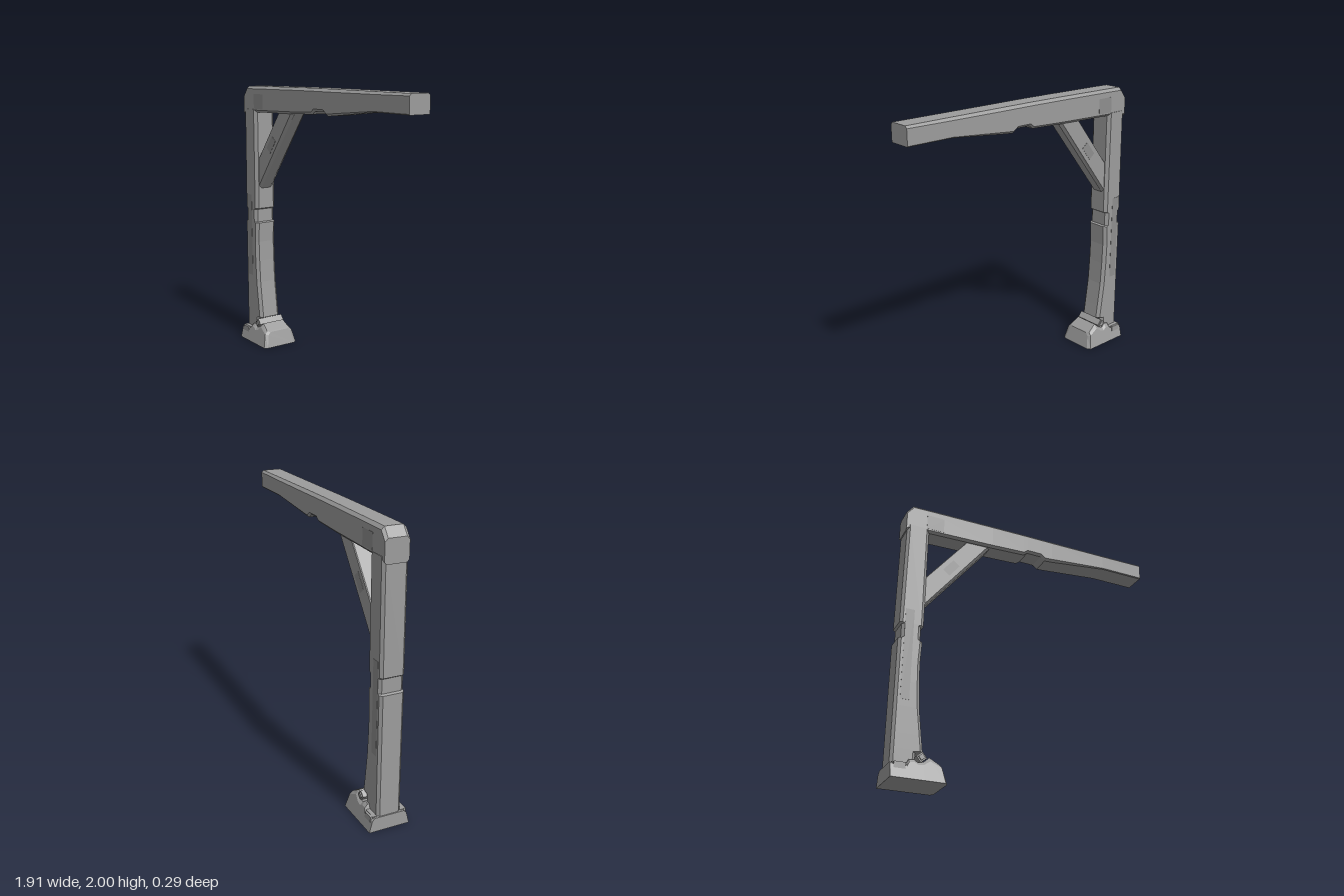
import * as THREE from 'three';

const paint = new THREE.MeshStandardMaterial({ color: 0x9c9c9c, flatShading: true });
const darkPaint = new THREE.MeshStandardMaterial({ color: 0x8e8e8e, flatShading: true });

// Chamfered eight-sided section spanning p0 -> p1 in the xy plane, half depth hz
function section([x0, y0], [x1, y1], hz, c0, c1) {
  const len = Math.hypot(x1 - x0, y1 - y0);
  const at = (d, z) => [x0 + (x1 - x0) * d / len, y0 + (y1 - y0) * d / len, z];
  const half = [[0, hz - c0], [c0, hz], [len - c1, hz], [len, hz - c1]];
  return [...half.map(([d, z]) => at(d, -z)), ...half.reverse().map(([d, z]) => at(d, z))];
}

// Skin a row of equal-count rings and close both ends
function loft(rings) {
  const tris = [];
  const n = rings[0].length;
  for (let i = 0; i < rings.length - 1; i++) {
    for (let j = 0; j < n; j++) {
      const k = (j + 1) % n;
      const [a, b, c, d] = [rings[i][j], rings[i][k], rings[i + 1][k], rings[i + 1][j]];
      tris.push([a, b, c], [a, c, d]);
    }
  }
  const first = rings[0], last = rings[rings.length - 1];
  for (let j = 1; j < n - 1; j++) {
    tris.push([first[0], first[j + 1], first[j]], [last[0], last[j], last[j + 1]]);
  }
  // Turn the faces outward if the enclosed volume is negative
  let volume = 0;
  for (const [a, b, c] of tris) {
    volume += new THREE.Vector3(...a).dot(new THREE.Vector3(...b).cross(new THREE.Vector3(...c)));
  }
  if (volume < 0) tris.forEach((t) => t.reverse());
  const geometry = new THREE.BufferGeometry();
  geometry.setAttribute('position', new THREE.Float32BufferAttribute(tris.flat(2), 3));
  geometry.computeVertexNormals();
  return geometry;
}

export function createModel() {
  const group = new THREE.Group();
  const add = (name, geometry, x = 0, y = 0, z = 0, turn = 0, material = paint) => {
    const mesh = new THREE.Mesh(geometry, material);
    mesh.name = name;
    mesh.position.set(x, y, z);
    mesh.rotation.z = turn;
    group.add(mesh);
  };

  // Horizontal beam: x, underside, top, top chamfer
  const beam = [
    [-0.947, 1.775, 1.93, 0.02], [-0.9, 1.79, 1.99, 0.02], [-0.8, 1.798, 1.992, 0.02],
    [-0.3, 1.812, 1.998, 0.02], [-0.05, 1.823, 2, 0.02], [-0.02, 1.846, 2, 0.02],
    [0.09, 1.846, 2, 0.02], [0.125, 1.82, 2, 0.02], [0.18, 1.824, 2, 0.02],
    [0.62, 1.873, 2, 0.018], [0.956, 1.873, 2, 0.015],
  ];
  add('beam', loft(beam.map(([x, y0, y1, c]) =>
    section([x, y0], [x, y1], 0.082, x > 0.6 ? 0.006 : 0.016, c))));

  // Post with a shallow groove at mid height and a foot that flares: y, back, front
  const post = [
    [0.05, -0.948, -0.79], [0.19, -0.948, -0.785], [0.2, -0.948, -0.738],
    [0.3, -0.948, -0.751], [0.48, -0.948, -0.774], [0.65, -0.948, -0.784],
    [0.8, -0.948, -0.788], [0.95, -0.948, -0.781], [0.957, -0.93, -0.797],
    [1.055, -0.93, -0.797], [1.065, -0.945, -0.779], [1.82, -0.938, -0.779],
  ];
  add('post', loft(post.map(([y, x0, x1]) =>
    section([x0, y], [x1, y], 0.086, 0.018, 0.022))));

  // Diagonal brace, cut to meet the post and the beam
  add('brace', loft([
    section([-0.79, 1.208], [-0.79, 1.437], 0.06, 0.022, 0.006),
    section([-0.294, 1.835], [-0.474, 1.835], 0.06, 0.022, 0.006),
  ]));

  // Base shoe: x at the ground, x at the top, top height, half width at the ground
  const shoe = [
    [-0.956, -0.956, 0.1, 0.145], [-0.85, -0.85, 0.1, 0.145], [-0.835, -0.835, 0.135, 0.145],
    [-0.8, -0.8, 0.14, 0.145], [-0.775, -0.775, 0.12, 0.145], [-0.74, -0.74, 0.13, 0.145],
    [-0.7, -0.7, 0.166, 0.145], [-0.605, -0.63, 0.122, 0.145], [-0.588, -0.62, 0.115, 0.12],
  ];
  add('baseShoe', loft(shoe.map(([x0, x1, top, hb]) => {
    const side = [[0, hb], [0.82, hb - top * 0.2], [1, hb - top * 0.25 - 0.015]];
    const at = (t, z) => [x0 + (x1 - x0) * t, top * t, z];
    return [...side.map(([t, z]) => at(t, -z)), ...side.reverse().map(([t, z]) => at(t, z))];
  })));

  // Pivot bar and the fittings on both sides of the shoe
  add('pivotBar', new THREE.BoxGeometry(0.05, 0.05, 0.21), -0.755, 0.158, 0, 0.7);
  for (const s of [1, -1]) {
    add('pivotCap', new THREE.BoxGeometry(0.032, 0.032, 0.012), -0.755, 0.158, s * 0.107, 0.7);
    add('clip', new THREE.BoxGeometry(0.075, 0.042, 0.03), -0.898, 0.082, s * 0.115);
    add('clipTab', new THREE.BoxGeometry(0.095, 0.012, 0.03), -0.895, 0.099, s * 0.1);
    // Thin darker plates
    add('postPlate', new THREE.BoxGeometry(0.06, 0.64, 0.002), -0.882, 0.845, s * 0.0864, 0, darkPaint);
    add('beamPlate', new THREE.BoxGeometry(0.125, 0.11, 0.002), -0.738, 1.88, s * 0.0824, 0, darkPaint);
    add('bracePlate', new THREE.BoxGeometry(0.12, 0.06, 0.002), -0.6, 1.57, s * 0.0604, 0.906, darkPaint);
  }
  return group;
}
